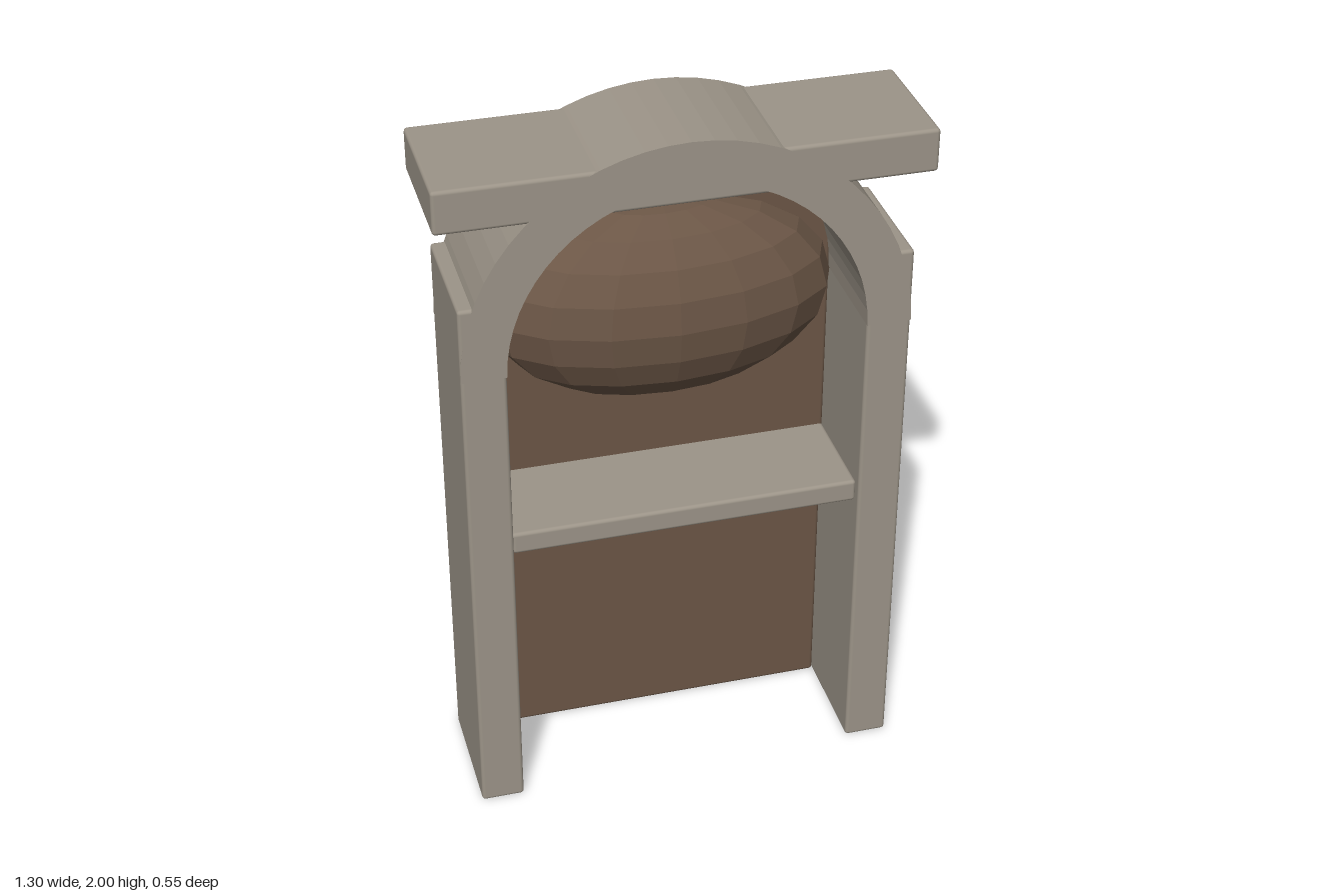
import * as THREE from 'three';
import { RoundedBoxGeometry } from 'three/addons/geometries/RoundedBoxGeometry.js';

const BACK = -0.09, FRONT = 0.275;
const DEPTH = FRONT - BACK, MID = (FRONT + BACK) / 2;
const BEVEL = 0.01;

export function createModel() {
  const group = new THREE.Group();
  const stone = new THREE.MeshStandardMaterial({ color: 0x9c9488 });
  const brown = new THREE.MeshStandardMaterial({ color: 0x6b5646 });
  const brownFaceted = new THREE.MeshStandardMaterial({ color: 0x6b5646, flatShading: true });
  const stoneFaceted = new THREE.MeshStandardMaterial({ color: 0x9c9488, flatShading: true });

  const add = (name, geometry, material, x, y, z) => {
    const mesh = new THREE.Mesh(geometry, material);
    mesh.name = name;
    mesh.position.set(x, y, z);
    group.add(mesh);
    return mesh;
  };
  // Softly edged block standing on its lower y
  const block = (name, w, h, d, material, x, y0, z) =>
    add(name, new RoundedBoxGeometry(w, h, d, 2, BEVEL), material, x, y0 + h / 2, z);

  // Side pillars
  for (const [name, side] of [['leftPillar', 1], ['rightPillar', -1]]) {
    block(name, 0.12, 1.61, DEPTH, stone, side * 0.54, 0, MID);
  }

  // Half-ring arch springing from inside the pillars
  const ring = new THREE.Shape();
  ring.absarc(0, 0, 0.6, 0, Math.PI, false);
  ring.absarc(0, 0, 0.48, Math.PI, 0, true);
  ring.closePath();
  const archGeometry = new THREE.ExtrudeGeometry(ring, {
    depth: DEPTH, bevelEnabled: false, curveSegments: 16,
  });
  add('arch', archGeometry, stoneFaceted, 0, 1.4, BACK);

  // Lintel across the top of the arch
  block('lintel', 1.3, 0.12, DEPTH, stone, 0, 1.83, MID);

  // Back panel, a hair proud of the frame
  block('backPanel', 0.96, 1.88, 0.05, brown, 0, 0, BACK + 0.024);

  // Shelf inside the niche
  block('shelf', 0.96, 0.065, 0.315, stone, 0, 0.828, 0.0975);

  // Faceted dome bulging through the back panel
  const dome = new THREE.SphereGeometry(1, 16, 10);
  dome.scale(0.48, 0.288, 0.235);
  add('dome', dome, brownFaceted, 0, 1.4, -0.04);

  return group;
}
